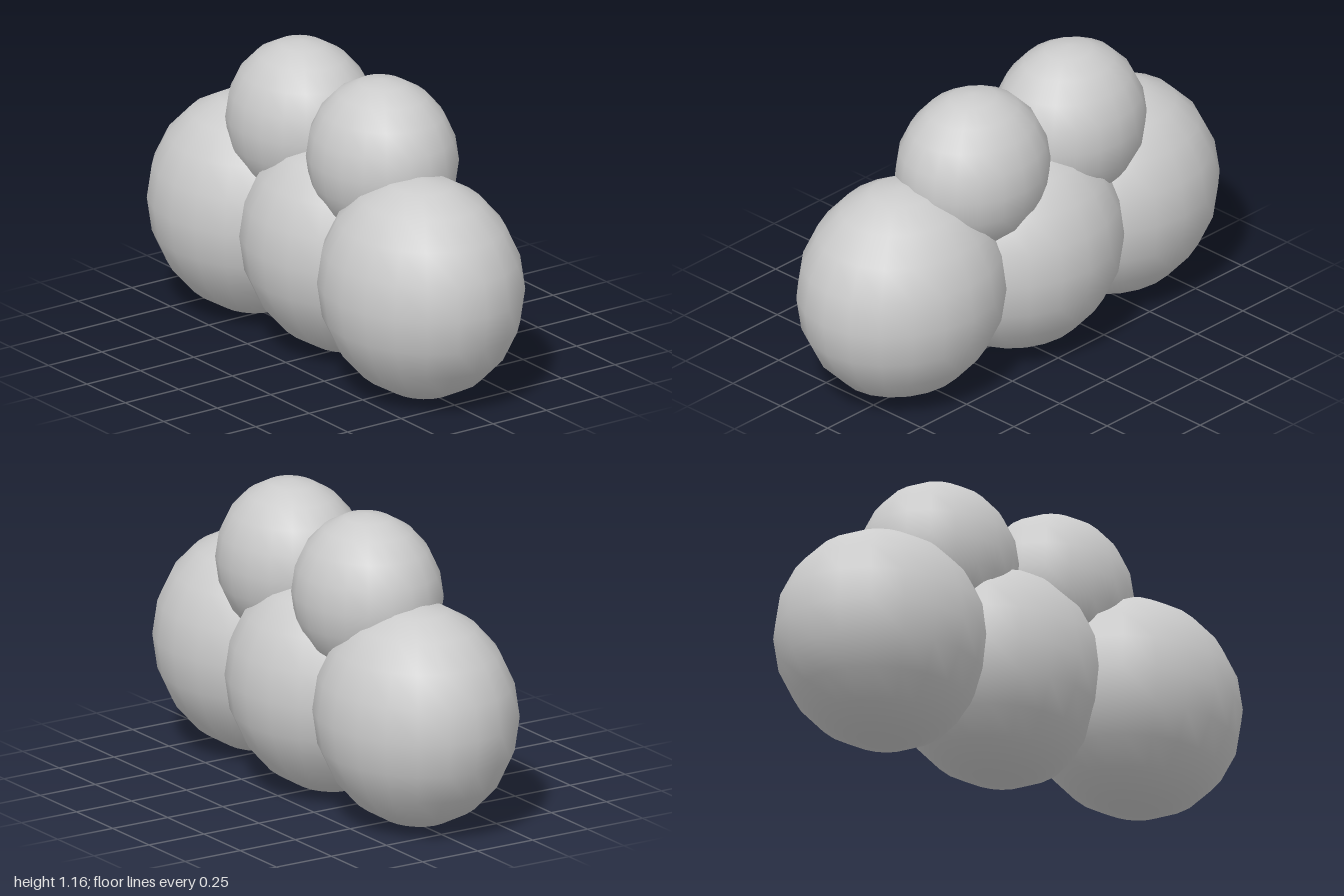
import * as THREE from 'three';

// A cluster of smooth, slightly flattened ellipsoids: three below, two resting above
export function createModel() {
  const group = new THREE.Group();
  const material = new THREE.MeshStandardMaterial({ color: 0xcccccc });
  const sphere = new THREE.SphereGeometry(1, 20, 10);

  const addLobe = (name, position, radii) => {
    const lobe = new THREE.Mesh(sphere, material);
    lobe.name = name;
    lobe.position.set(...position);
    lobe.scale.set(...radii);
    group.add(lobe);
  };

  // Large lower lobes, standing on the ground
  const large = [0.433, 0.434, 0.376];
  addLobe('lowerLeftLobe', [0.567, 0.435, 0.025], large);
  addLobe('lowerMiddleLobe', [-0.015, 0.435, -0.03], large);
  addLobe('lowerRightLobe', [-0.567, 0.435, 0.005], large);

  // Smaller upper lobes, set in the gaps between the lower ones
  const small = [0.318, 0.32, 0.277];
  addLobe('upperLeftLobe', [0.239, 0.842, -0.03], small);
  addLobe('upperRightLobe', [-0.285, 0.842, -0.03], small);

  return group;
}
